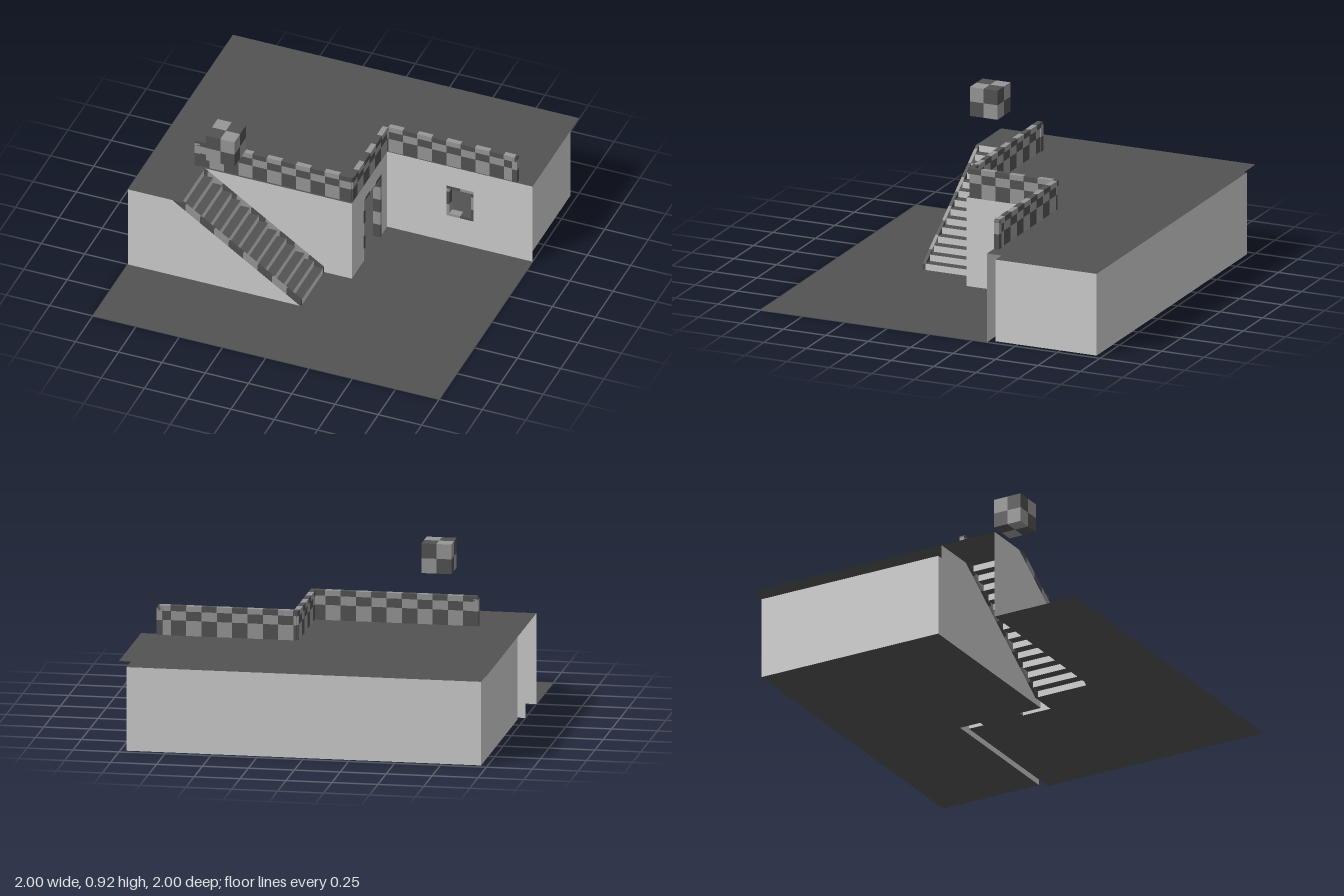
import * as THREE from 'three';

const CELL = 1 / 12;   // size of one checker square
const H = 0.5;         // roof height
const IN_H = 0.46;     // ceiling height of the room

function material(name, color, side = THREE.DoubleSide) {
  const m = new THREE.MeshStandardMaterial({ color, side });
  m.name = name;
  return m;
}

export function createModel() {
  const model = new THREE.Group();
  model.name = 'houseWithRoofTerrace';
  const wallMat = material('wallGrey', 0xcccccc);
  const floorMat = material('floorGrey', 0x525252);
  const checks = [material('checkLight', 0x969696), material('checkDark', 0x525252)];
  const checkMat = (n) => checks[Math.abs(n) % 2];

  function group(name) {
    const g = new THREE.Group();
    g.name = name;
    model.add(g);
    return g;
  }

  // Flat sheet with optional rectangular hole [u0, v0, u1, v1]
  function sheet(name, mat, pts, hole) {
    const shape = new THREE.Shape(pts.map(([u, v]) => new THREE.Vector2(u, v)));
    if (hole) {
      const [a, b, c, d] = hole;
      shape.holes.push(new THREE.Path([[a, b], [a, d], [c, d], [c, b]].map(([u, v]) => new THREE.Vector2(u, v))));
    }
    const mesh = new THREE.Mesh(new THREE.ShapeGeometry(shape), mat);
    mesh.name = name;
    model.add(mesh);
    return mesh;
  }
  const rect = (a, b, c, d) => [[a, b], [c, b], [c, d], [a, d]];
  // Horizontal sheet from (x, z) corners
  function level(name, mat, y, pts) {
    const m = sheet(name, mat, pts.map(([x, z]) => [x, -z]));
    m.rotation.x = -Math.PI / 2;
    m.position.y = y;
  }
  // Wall along x, facing +z
  function wallX(name, z, pts, hole) {
    sheet(name, wallMat, pts, hole).position.z = z;
  }
  // Wall along z, facing +x; its outline is given as (-z, y)
  function wallZ(name, x, pts, hole) {
    const m = sheet(name, wallMat, pts, hole);
    m.rotation.y = Math.PI / 2;
    m.position.x = x;
  }

  function box(parent, name, mat, min, max) {
    const s = max.map((v, i) => v - min[i]);
    const m = new THREE.Mesh(new THREE.BoxGeometry(...s), mat);
    m.position.set(...min.map((v, i) => v + s[i] / 2));
    m.name = name;
    parent.add(m);
  }
  // Cut a span at the checker lines
  function spans(a, b, fn) {
    for (let i = Math.floor(a / CELL + 1e-6); i * CELL < b - 1e-6; i++) {
      fn(i, Math.max(a, i * CELL), Math.min(b, (i + 1) * CELL));
    }
  }
  // Box split into checks along one axis
  function checkedBar(parent, name, axis, min, max, shift = 0) {
    spans(min[axis], max[axis], (i, s, e) => {
      const lo = [...min], hi = [...max];
      lo[axis] = s;
      hi[axis] = e;
      box(parent, name, checkMat(i + shift), lo, hi);
    });
  }

  // Ground, door sill, room floor, ceiling and roof
  level('ground', floorMat, 0, [[-1, 1], [1, 1], [1, -0.335], [0.16, -0.335], [0.16, 0.17], [0, 0.17], [0, 0.5], [-1, 0.5]]);
  level('doorSill', floorMat, 0, rect(0.125, -0.245, 0.16, 0));
  const room = [[-0.965, 0.13], [0.125, 0.13], [0.125, -0.37], [0.965, -0.37], [0.965, -0.965], [-0.965, -0.965]];
  level('roomFloor', floorMat, 0, room);
  level('roomCeiling', floorMat, IN_H, room);
  const stepCount = 14, rise = H / stepCount, run = 0.74 / stepCount;
  const landing = -run * (stepCount - 1);
  level('roof', floorMat, H, [[-1, 0.5], [landing, 0.5], [landing, 0.17], [0.16, 0.17], [0.16, -0.335], [1, -0.335], [1, -1], [-1, -1]]);

  // Outer walls
  const windowHole = [0.505, 0.175, 0.66, 0.37];
  const doorWall = (a, b, h) => [[a, 0], [0, 0], [0, 0.41], [0.245, 0.41], [0.245, 0], [b, 0], [b, h], [a, h]];
  wallX('stairSideWall', 0.5, [[-1, 0], [0, 0], [-0.74, H], [-1, H]]);
  wallX('frontWall', 0.17, rect(-1, 0, 0.16, H));
  wallZ('doorWall', 0.16, doorWall(-0.17, 0.335, H));
  wallX('windowWall', -0.335, rect(0.16, 0, 1, H), windowHole);

  // Room walls
  wallX('roomFrontWall', 0.13, rect(-0.965, 0, 0.125, IN_H));
  wallZ('roomDoorWall', 0.125, doorWall(-0.13, 0.37, IN_H));
  wallX('roomWindowWall', -0.37, rect(0.125, 0, 0.965, IN_H), windowHole);
  wallX('roomBackWall', -0.965, rect(-0.965, 0, 0.965, IN_H));
  wallZ('roomRightWall', -0.965, rect(-0.13, 0, 0.965, IN_H));
  wallZ('roomLeftWall', 0.965, rect(0.37, 0, 0.965, IN_H));

  // Door frame
  const door = group('doorFrame'), t = 0.015;
  checkedBar(door, 'doorJamb', 1, [0.122, 0, -t], [0.163, 0.41, 0]);
  checkedBar(door, 'doorJamb', 1, [0.122, 0, -0.245], [0.163, 0.41, -0.245 + t], 1);
  checkedBar(door, 'doorHead', 2, [0.122, 0.41 - t, -0.245 + t], [0.163, 0.41, -t]);

  // Window frame
  const win = group('windowFrame');
  const [wx0, wy0, wx1, wy1] = windowHole, wz0 = -0.373, wz1 = -0.332;
  for (const y of [wy0, wy1 - t]) checkedBar(win, 'windowRail', 0, [wx0, y, wz0], [wx1, y + t, wz1], y > 0.3 ? 1 : 0);
  for (const x of [wx0, wx1 - t]) checkedBar(win, 'windowJamb', 1, [x, wy0 + t, wz0], [x + t, wy1 - t, wz1], x > 0.6 ? 1 : 0);

  // Stairs: dark treads, light risers
  const stairs = group('stairs');
  for (let i = 0; i < stepCount; i++) {
    const riser = new THREE.Mesh(new THREE.PlaneGeometry(0.3, rise), wallMat);
    riser.rotation.y = Math.PI / 2;
    riser.position.set(-i * run, (i + 0.5) * rise, 0.335);
    riser.name = 'riser';
    stairs.add(riser);
    if (i === stepCount - 1) break;
    const tread = new THREE.Mesh(new THREE.PlaneGeometry(run, 0.3), floorMat);
    tread.rotation.x = -Math.PI / 2;
    tread.position.set(-(i + 0.5) * run, (i + 1) * rise, 0.335);
    tread.name = 'tread';
    stairs.add(tread);
  }

  // Checked stringers on both sides of the stairs
  const slope = rise / run;
  for (const z of [0.168, 0.485]) {
    spans(-0.74, 0, (i, s, e) => {
      const low = (x) => -x * slope;
      const top = (x) => Math.min(H, low(x) + rise);
      const pts = [[s, low(s)], [e, low(e)], [e, top(e)]];
      if (s < landing && e > landing) pts.push([landing, H]);
      if (top(s) > low(s) + 1e-5) pts.push([s, top(s)]);
      const shape = new THREE.Shape(pts.map(([x, y]) => new THREE.Vector2(x, y)));
      const m = new THREE.Mesh(new THREE.ExtrudeGeometry(shape, { depth: 0.018, bevelEnabled: false }), checkMat(i));
      m.position.z = z;
      m.name = 'stringer';
      stairs.add(m);
    });
  }

  // Parapet: two rows of checks below a wider rail
  const parapet = group('parapet');
  const path = [[-0.735, 0.15], [0.15, 0.15], [0.15, -0.35], [0.895, -0.35]];
  const r = 0.015, railLow = 0.635, railTop = 0.665, rowTop = H + CELL;
  for (let k = 0; k < 3; k++) {
    const [p, q] = [path[k], path[k + 1]];
    const axis = k === 1 ? 2 : 0;
    const lo = [Math.min(p[0], q[0]), 0, Math.min(p[1], q[1])];
    const hi = [Math.max(p[0], q[0]), 0, Math.max(p[1], q[1])];
    const bar = (name, y0, y1, w, shift) => {
      const a = [...lo], b = [...hi], side = 2 - axis;
      a[1] = y0; b[1] = y1;
      a[side] -= w; b[side] += w;
      checkedBar(parapet, name, axis, a, b, shift);
    };
    bar('lowerPanel', H, rowTop, 0.009, 0);
    bar('upperPanel', rowTop, railLow, 0.009, 1);
    bar('topRail', railLow, railTop, r, 0);
  }
  path.forEach(([x, z], k) => {
    // Round rail corners, and end posts with rounded tops
    const end = k === 0 || k === 3;
    const cap = new THREE.Mesh(new THREE.CylinderGeometry(r, r, 2 * r, 16), checks[1]);
    cap.position.set(x, railTop - r, z);
    if (end) cap.rotation.x = Math.PI / 2;
    cap.name = 'railCorner';
    parapet.add(cap);
    if (end) checkedBar(parapet, 'endPost', 1, [x - r, H, z - r], [x + r, railTop - r, z + r], 1);
  });

  // Floating checked cube made of eight smaller cubes
  const cube = group('floatingCube'), c = 0.0815;
  for (let i = 0; i < 2; i++) for (let j = 0; j < 2; j++) for (let k = 0; k < 2; k++) {
    const min = [-0.5 + (i - 1) * c, 0.835 + (j - 1) * c, 0.335 + (k - 1) * c];
    box(cube, 'cubeCheck', checkMat(i + j + k + 1), min, min.map((v) => v + c));
  }
  return model;
}
